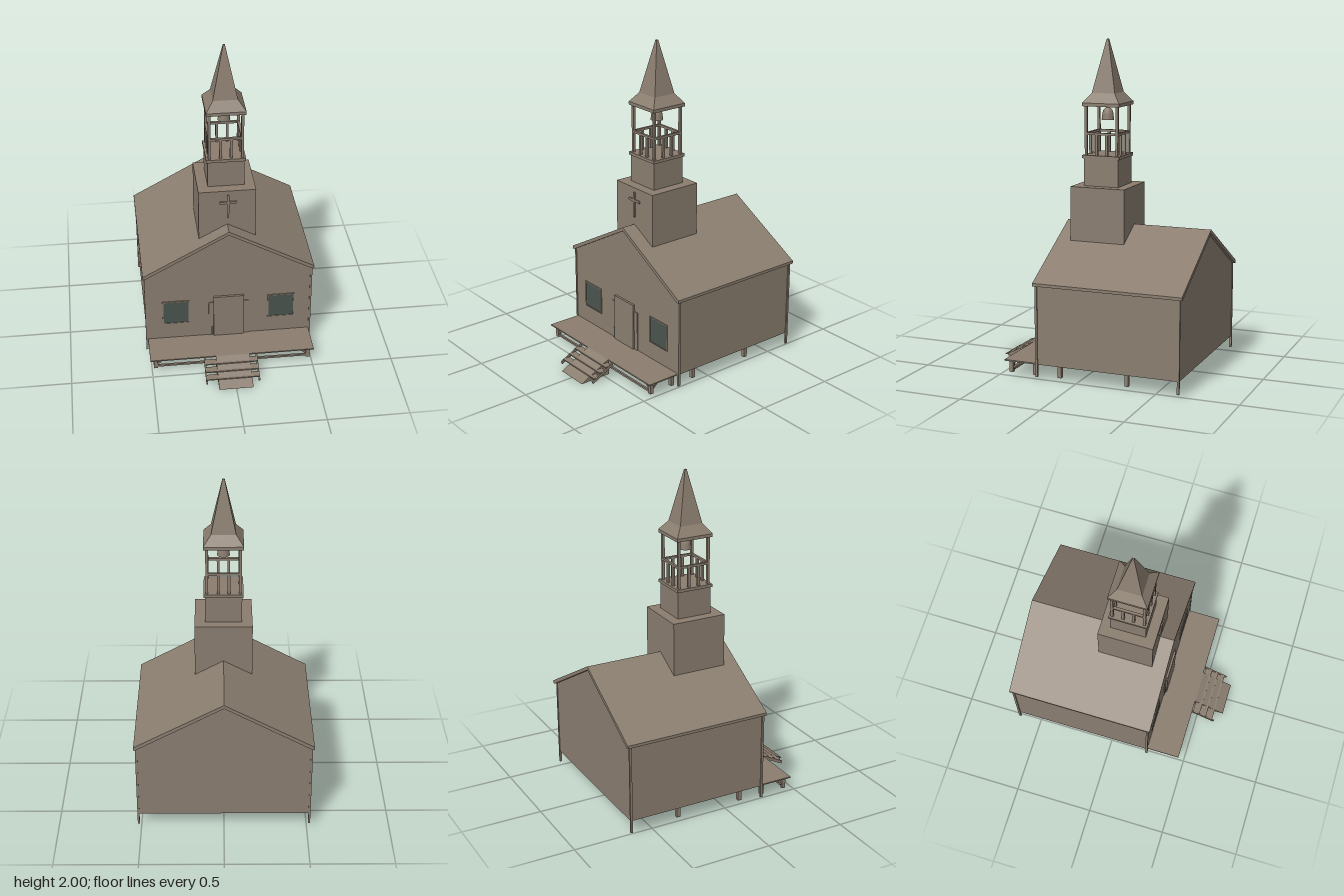
import * as THREE from 'three';

export function createModel() {
  const root = new THREE.Group();
  root.name = 'chapel';
  const wood = new THREE.MeshStandardMaterial({ color: 0x8b7e70, flatShading: true });
  wood.name = 'weatheredWood';
  const glass = new THREE.MeshStandardMaterial({ color: 0x4a544e, flatShading: true });
  glass.name = 'darkGlass';

  const add = (name, geo, mat = wood) => {
    const m = new THREE.Mesh(geo, mat);
    m.name = name;
    root.add(m);
    return m;
  };
  // Box given by its two corners
  const box = (name, x0, x1, y0, y1, z0, z1, mat) => {
    const m = add(name, new THREE.BoxGeometry(x1 - x0, y1 - y0, z1 - z0), mat);
    m.position.set((x0 + x1) / 2, (y0 + y1) / 2, (z0 + z1) / 2);
    return m;
  };
  // Square beam between two points
  const beam = (name, a, b, w, h = w) => {
    const p = new THREE.Vector3(...a), q = new THREE.Vector3(...b);
    const m = add(name, new THREE.BoxGeometry(w, h, p.distanceTo(q)));
    m.position.copy(p).add(q).multiplyScalar(0.5);
    m.lookAt(q);
    return m;
  };
  // Outline in x and y, extruded from z0 to z1
  const prism = (name, pts, z0, z1) => {
    const shape = new THREE.Shape(pts.map(p => new THREE.Vector2(...p)));
    const geo = new THREE.ExtrudeGeometry(shape, { depth: z1 - z0, bevelEnabled: false });
    const m = add(name, geo);
    m.position.z = z0;
    return m;
  };

  // Hall and gabled roof
  prism('hall', [[-0.515, 0.095], [0.515, 0.095], [0.515, 0.58], [0, 0.868], [-0.515, 0.58]], -0.645, 0.25);
  prism('roof', [[-0.53, 0.574], [-0.515, 0.574], [0, 0.862], [0.515, 0.574], [0.53, 0.574],
    [0.53, 0.592], [0, 0.885], [-0.53, 0.592]], -0.663, 0.265);

  // Corner boards and foundation piers
  for (const s of [-1, 1]) {
    for (const z of [-0.642, 0.247]) {
      box('cornerBoard', s * 0.516 - 0.006, s * 0.516 + 0.006, 0.02, 0.58, z - 0.007, z + 0.007);
    }
    for (const z of [0.11, -0.315]) {
      for (const x of [0.48, 0.16]) {
        box('pier', s * x - 0.012, s * x + 0.012, 0.02, 0.1, z - 0.012, z + 0.012);
      }
    }
  }

  // Front windows with thin frames
  for (const s of [-1, 1]) {
    const c = s * 0.33;
    box('window', c - 0.078, c + 0.078, 0.217, 0.377, 0.25, 0.253, glass);
    for (const e of [-1, 1]) {
      box('windowJamb', c + e * 0.081 - 0.003, c + e * 0.081 + 0.003, 0.211, 0.383, 0.248, 0.256);
      const y = 0.297 + e * 0.083;
      box('windowRail', c - 0.084, c + 0.084, y - 0.003, y + 0.003, 0.248, 0.256);
    }
  }

  // Door and its surround
  box('doorSurround', -0.125, 0.125, 0.1, 0.355, 0.25, 0.255);
  box('doorGlass', -0.112, -0.096, 0.105, 0.17, 0.25, 0.257, glass);
  box('door', -0.095, 0.095, 0.1, 0.4, 0.25, 0.264);

  // Porch deck on a braced frame
  box('porchDeck', -0.51, 0.51, 0.092, 0.1, 0.25, 0.465);
  box('porchRail', -0.48, 0.48, 0.025, 0.037, 0.424, 0.436);
  for (const s of [-1, 1]) {
    box('porchPost', s * 0.477 - 0.012, s * 0.477 + 0.012, 0.02, 0.094, 0.418, 0.442);
    box('porchBackPost', s * 0.477 - 0.012, s * 0.477 + 0.012, 0.02, 0.094, 0.26, 0.284);
    beam('porchFrontBrace', [s * 0.472, 0.04, 0.43], [s * 0.42, 0.092, 0.43], 0.011);
    beam('porchSideBrace', [s * 0.477, 0.04, 0.425], [s * 0.477, 0.092, 0.37], 0.011);
  }

  // Steps with stringers
  for (const x of [-0.175, 0.148]) {
    beam('stairStringer', [x, 0.012, 0.618], [x, 0.088, 0.465], 0.009, 0.018);
  }
  for (let i = 0; i < 3; i++) {
    const y = 0.075 - i * 0.023, z = 0.47 + i * 0.045;
    box('stairTread', -0.175, 0.148, y, y + 0.007, z, z + 0.047);
  }

  // Ramp wedge laid over the steps
  const ramp = prism('ramp', [[-0.665, 0], [-0.46, 0], [-0.46, 0.1], [-0.467, 0.1]], 0, 0.21);
  ramp.rotation.y = Math.PI / 2;
  ramp.position.set(-0.105, 0, 0);

  // Tower stages
  box('towerBase', -0.174, 0.174, 0.785, 1.12, -0.174, 0.174);
  box('towerStage', -0.111, 0.111, 1.12, 1.29, -0.111, 0.111);
  box('belfryFloor', -0.119, 0.119, 1.288, 1.307, -0.119, 0.119);
  box('crossUpright', -0.003, 0.011, 0.933, 1.093, 0.174, 0.182);
  box('crossArm', -0.048, 0.056, 1.033, 1.048, 0.174, 0.182);

  // Belfry posts, railing and balusters on four sides
  for (const sx of [-1, 1]) for (const sz of [-1, 1]) {
    const x = sx * 0.099, z = sz * 0.099;
    box('belfryPost', x - 0.008, x + 0.008, 1.305, 1.605, z - 0.008, z + 0.008);
  }
  for (const s of [-1, 1]) {
    const o = s * 0.099;
    box('railing', -0.099, 0.099, 1.43, 1.444, o - 0.008, o + 0.008);
    box('railing', o - 0.008, o + 0.008, 1.43, 1.444, -0.099, 0.099);
    for (const t of [-0.032, 0.032]) {
      box('baluster', t - 0.008, t + 0.008, 1.305, 1.432, o - 0.007, o + 0.007);
      box('baluster', o - 0.007, o + 0.007, 1.305, 1.432, t - 0.008, t + 0.008);
    }
  }

  // Bell and hanger
  const bellProfile = [[0, 1.515], [0.038, 1.515], [0.036, 1.53], [0.033, 1.555], [0.028, 1.573], [0.017, 1.585], [0, 1.592]];
  add('bell', new THREE.LatheGeometry(bellProfile.map(p => new THREE.Vector2(...p)), 16));
  box('bellHanger', -0.006, 0.006, 1.585, 1.605, -0.006, 0.006);

  // Flared spire: stacked four-sided frusta
  box('spireEave', -0.119, 0.119, 1.602, 1.622, -0.119, 0.119);
  const frustum = (name, top, bottom, y0, y1) => {
    const m = add(name, new THREE.CylinderGeometry(top * Math.SQRT2, bottom * Math.SQRT2, y1 - y0, 4));
    m.rotation.y = Math.PI / 4;
    m.position.y = (y0 + y1) / 2;
  };
  frustum('spireSkirt', 0.074, 0.119, 1.622, 1.68);
  frustum('spire', 0.006, 0.074, 1.68, 2.0);

  return root;
}
